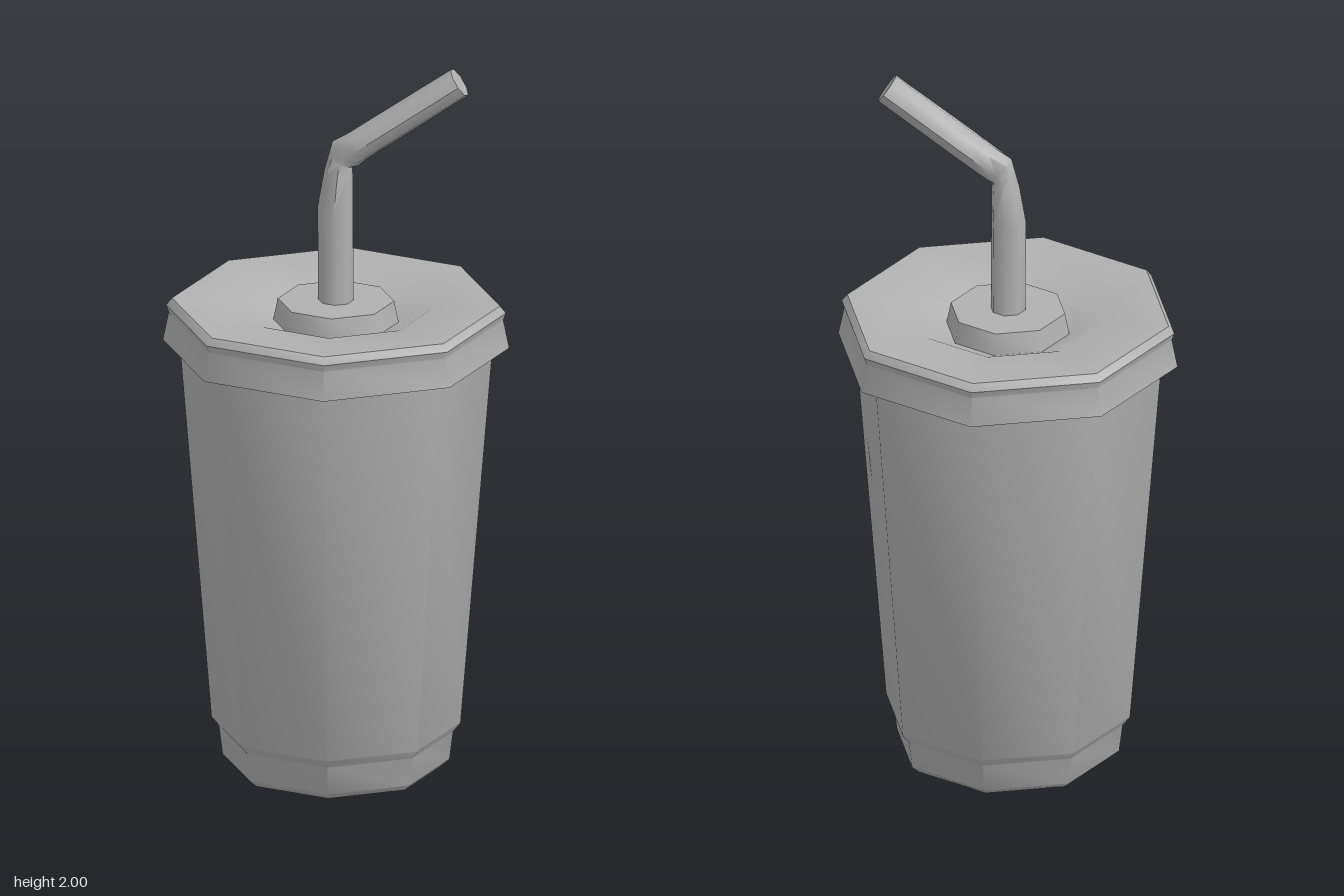
import * as THREE from 'three';
import { toCreasedNormals } from 'three/addons/utils/BufferGeometryUtils.js';

const SIDES = 8;
const CREASE = 0.82; // keeps the eight walls smooth, sharpens rims

const grey = new THREE.MeshStandardMaterial({ color: 0xb0b0b0 });
grey.name = 'grey';

// Eight-sided turned part from [radius, height] pairs
function turned(name, profile) {
  const points = profile.map(([r, y]) => new THREE.Vector2(r, y));
  const geometry = toCreasedNormals(new THREE.LatheGeometry(points, SIDES), CREASE);
  const mesh = new THREE.Mesh(geometry, grey);
  mesh.name = name;
  return mesh;
}

// Capped tube through rings of [x, y, lean in degrees, radius in bend plane, radius in z]
function bentTube(name, rings) {
  const positions = [];
  const index = [];
  for (const [x, y, lean, ra, rz] of rings) {
    const a = THREE.MathUtils.degToRad(lean);
    for (let i = 0; i < SIDES; i++) {
      const t = (i / SIDES) * Math.PI * 2;
      const u = Math.cos(t) * ra;
      positions.push(x + u * Math.cos(a), y - u * Math.sin(a), Math.sin(t) * rz);
    }
  }
  for (let k = 0; k < rings.length - 1; k++) {
    for (let i = 0; i < SIDES; i++) {
      const j = (i + 1) % SIDES;
      const a = k * SIDES + i, b = k * SIDES + j;
      index.push(a, a + SIDES, b, b, a + SIDES, b + SIDES);
    }
  }
  // End cap
  const last = (rings.length - 1) * SIDES;
  for (let i = 1; i < SIDES - 1; i++) index.push(last, last + i + 1, last + i);
  const geometry = new THREE.BufferGeometry();
  geometry.setAttribute('position', new THREE.Float32BufferAttribute(positions, 3));
  geometry.setIndex(index);
  const mesh = new THREE.Mesh(toCreasedNormals(geometry, CREASE), grey);
  mesh.name = name;
  return mesh;
}

export function createModel() {
  const model = new THREE.Group();
  model.name = 'drinkCup';

  // Tapered cup with a stepped foot
  model.add(turned('cup', [
    [0, 0], [0.285, 0], [0.308, 0.02], [0.318, 0.1], [0.338, 0.125], [0.427, 1.23],
  ]));

  // Lid with flared skirt, rolled rim, sunken well and raised centre
  model.add(turned('lid', [
    [0.42, 1.205], [0.47, 1.205], [0.454, 1.285], [0.461, 1.305], [0.445, 1.325],
    [0.26, 1.313], [0.17, 1.272], [0.158, 1.332], [0, 1.332],
  ]));

  // Straw with a pinched elbow
  model.add(bentTube('straw', [
    [0, 1.3, 0, 0.048, 0.048],
    [-0.002, 1.6, 0, 0.048, 0.048],
    [0.007, 1.7, 8, 0.039, 0.043],
    [0.012, 1.732, 28, 0.036, 0.034],
    [0.025, 1.752, 45, 0.049, 0.036],
    [0.062, 1.777, 56, 0.044, 0.046],
    [0.12, 1.817, 56, 0.044, 0.048],
    [0.335, 1.964, 56, 0.043, 0.047],
  ]));

  return model;
}
